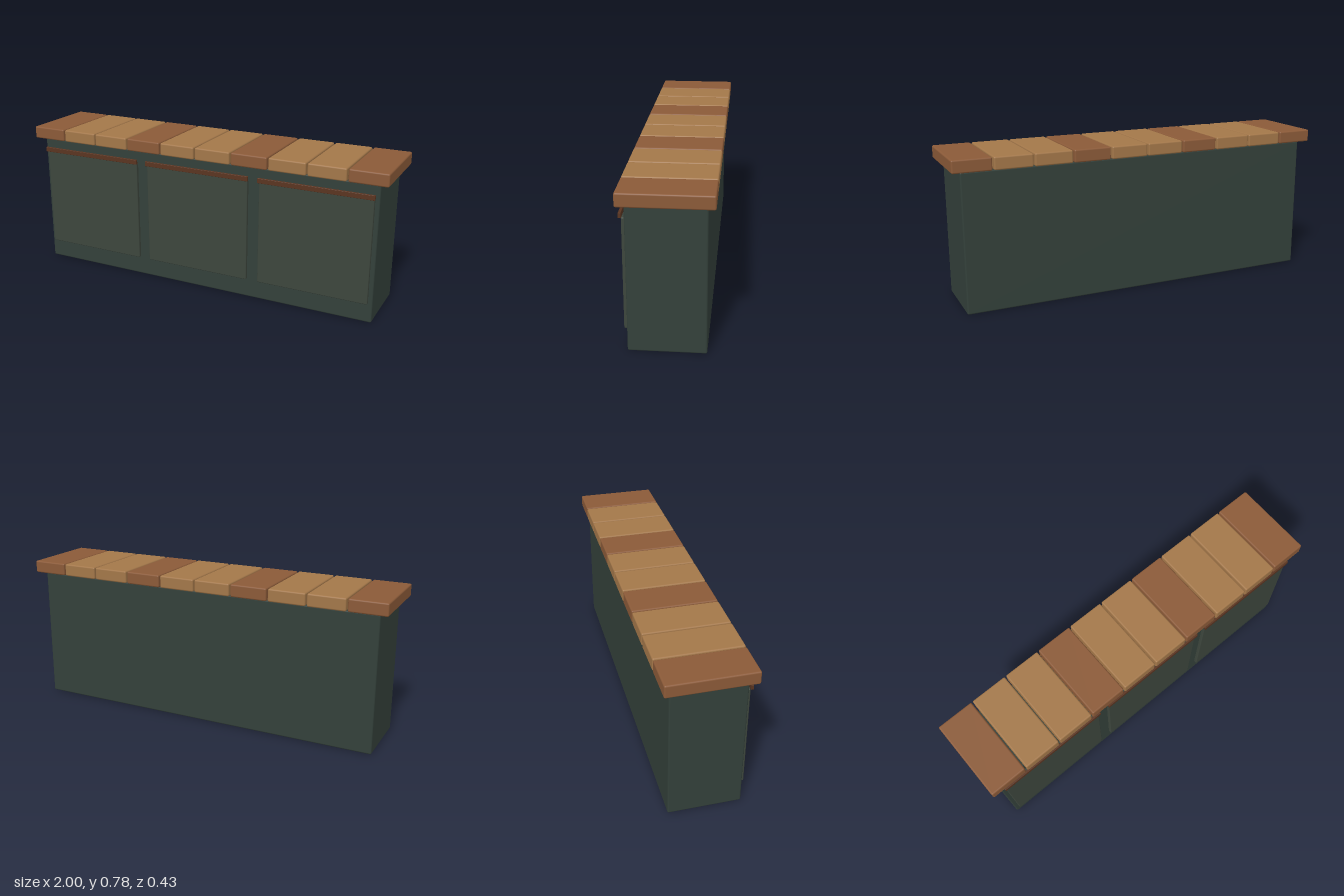
import * as THREE from 'three';
import { RoundedBoxGeometry } from 'three/addons/geometries/RoundedBoxGeometry.js';

const paint = (color) => new THREE.MeshStandardMaterial({ color });

export function createModel() {
  const group = new THREE.Group();
  const green = paint(0x33403a), panelGreen = paint(0x3d463d);
  const lightWood = paint(0xa37749), darkWood = paint(0x8b5a38), trimWood = paint(0x5a3420);

  // Softly rounded block given by its size and centre
  const block = (name, size, centre, radius, material) => {
    const mesh = new THREE.Mesh(new RoundedBoxGeometry(...size, 3, radius), material);
    mesh.name = name;
    mesh.position.set(...centre);
    group.add(mesh);
  };

  // Cabinet body
  block('counterBody', [1.91, 0.708, 0.358], [0, 0.354, 0], 0.008, green);

  // Worktop planks: every third one is dark
  const count = 10, width = 0.193, pitch = (2 - width) / (count - 1);
  for (let i = 0; i < count; i++) {
    const x = (i - (count - 1) / 2) * pitch;
    block('topPlank', [width, 0.065, 0.425], [x, 0.743, 0], 0.008, i % 3 === 0 ? darkWood : lightWood);
  }

  // Front panels, each with a thin wooden rail along its top
  for (const x of [-0.643, 0, 0.643]) {
    block('frontPanel', [0.58, 0.538, 0.03], [x, 0.37, 0.18], 0.005, panelGreen);
    block('panelRail', [0.59, 0.025, 0.013], [x, 0.65, 0.2], 0.002, trimWood);
  }
  return group;
}
